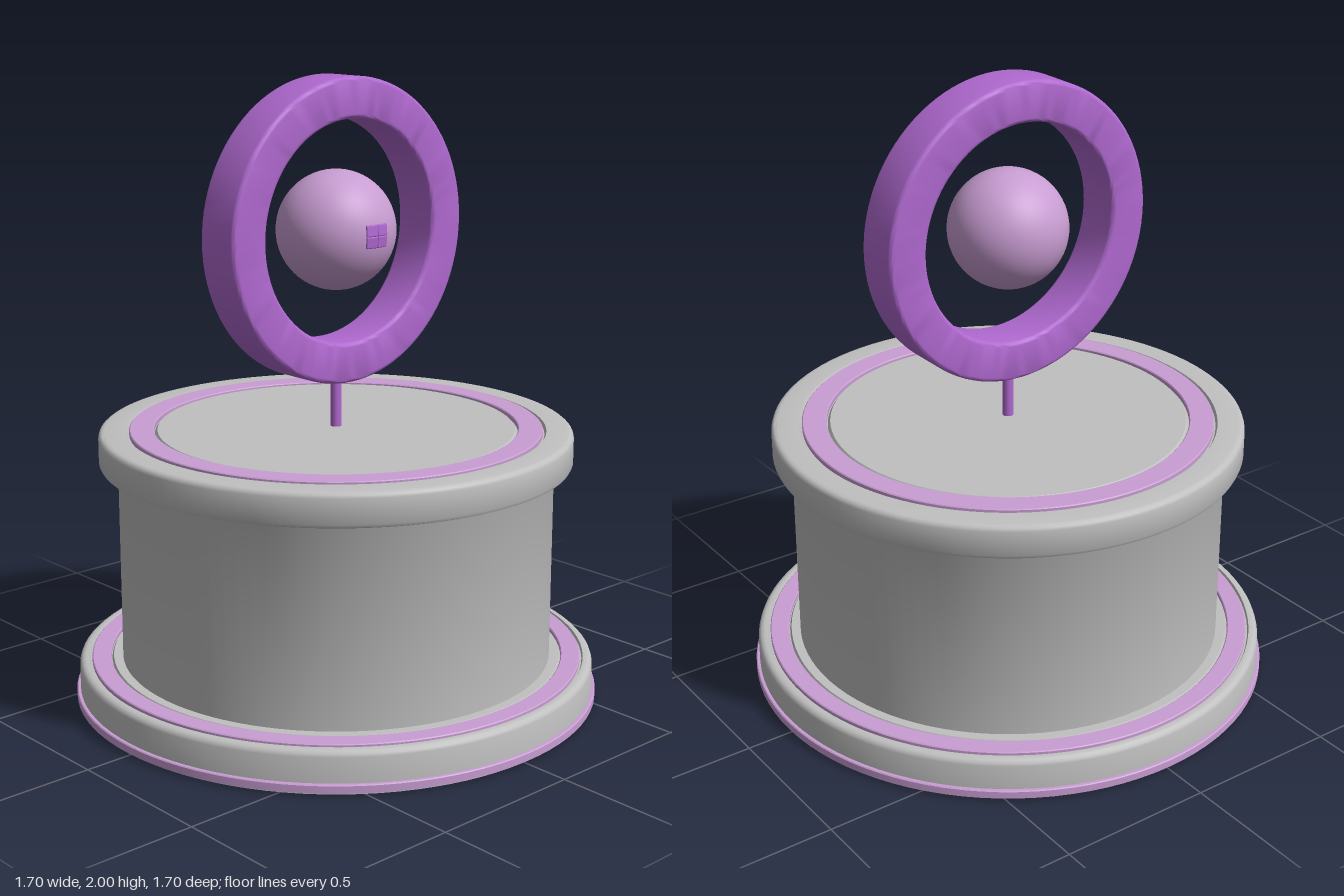
import * as THREE from 'three';
import { RoundedBoxGeometry } from 'three/addons/geometries/RoundedBoxGeometry.js';
import { toCreasedNormals } from 'three/addons/utils/BufferGeometryUtils.js';

const material = (name, color) => {
  const m = new THREE.MeshStandardMaterial({ color });
  m.name = name;
  return m;
};

export function createModel() {
  const model = new THREE.Group();
  model.name = 'orbTrophy';
  const grey = material('stone grey', 0xc0c0c0);
  const lilac = material('pale lilac', 0xc89dd2);
  const purple = material('violet', 0xb069d0);

  const add = (name, geometry, mat, parent = model) => {
    const mesh = new THREE.Mesh(geometry, mat);
    mesh.name = name;
    parent.add(mesh);
    return mesh;
  };
  // Profiles run from the bottom up the outside and back to the axis
  const turned = (points, segments = 96) => toCreasedNormals(
    new THREE.LatheGeometry(points.map(([r, y]) => new THREE.Vector2(r, y)), segments), 0.6);
  // Flat-topped inlaid band with bevelled edges
  const band = (inner, outer, low, high) => turned([
    [inner, low], [outer, low], [outer, high - 0.003], [outer - 0.003, high],
    [inner + 0.003, high], [inner, high - 0.003], [inner, low]]);

  // Plinth: foot, drum and overhanging rim, with a shallow groove beside each inlay
  add('pedestal', turned([
    [0, 0], [0.84, 0], [0.84, 0.115], [0.837, 0.124], [0.83, 0.131], [0.82, 0.134],
    [0.81, 0.134], [0.806, 0.125], [0.735, 0.125], [0.73, 0.134], [0.7, 0.134],
    [0.7, 0.765], [0.704, 0.772], [0.712, 0.776], [0.745, 0.776], [0.755, 0.78], [0.76, 0.79],
    [0.76, 0.868], [0.757, 0.877], [0.75, 0.883], [0.74, 0.885],
    [0.673, 0.885], [0.667, 0.874], [0.58, 0.874], [0.572, 0.885], [0, 0.885],
  ]), grey);
  add('footTrim', band(0.83, 0.852, 0.008, 0.034), lilac);
  add('footInlay', band(0.738, 0.8, 0.12, 0.138), lilac);
  add('rimInlay', band(0.583, 0.662, 0.87, 0.89), lilac);

  // Thin post holding the ring
  const stem = add('stem', new THREE.CylinderGeometry(0.018, 0.018, 0.19, 24), purple);
  stem.position.y = 0.965;

  // Upright ring with softened edges
  const head = new THREE.Group();
  head.name = 'ringAndOrb';
  head.position.y = 1.52;
  model.add(head);
  const section = [];
  const b = 0.015;
  const corners = [[0.48 - b, -0.08 + b, -1], [0.48 - b, 0.08 - b, 0],
    [0.35 + b, 0.08 - b, 1], [0.35 + b, -0.08 + b, 2]];
  for (const [r, y, quarter] of corners) {
    for (let i = 0; i <= 4; i++) {
      const a = (quarter + i / 4) * Math.PI / 2;
      section.push([r + b * Math.cos(a), y + b * Math.sin(a)]);
    }
  }
  section.push(section[0]);
  const ring = add('ring', turned(section), purple, head);
  ring.rotation.x = Math.PI / 2;

  // Floating orb with a four-lobed spot on its front
  add('orb', new THREE.SphereGeometry(0.19, 48, 32), lilac, head);
  for (const x of [-1, 1]) {
    for (const y of [-1, 1]) {
      const lobe = add('orbSpot', new RoundedBoxGeometry(0.043, 0.037, 0.009, 3, 0.004), purple, head);
      lobe.position.set(x * 0.021, y * 0.018, 0.1865);
      lobe.lookAt(x * 0.042, 1.52 + y * 0.036, 0.373);
    }
  }
  return model;
}
